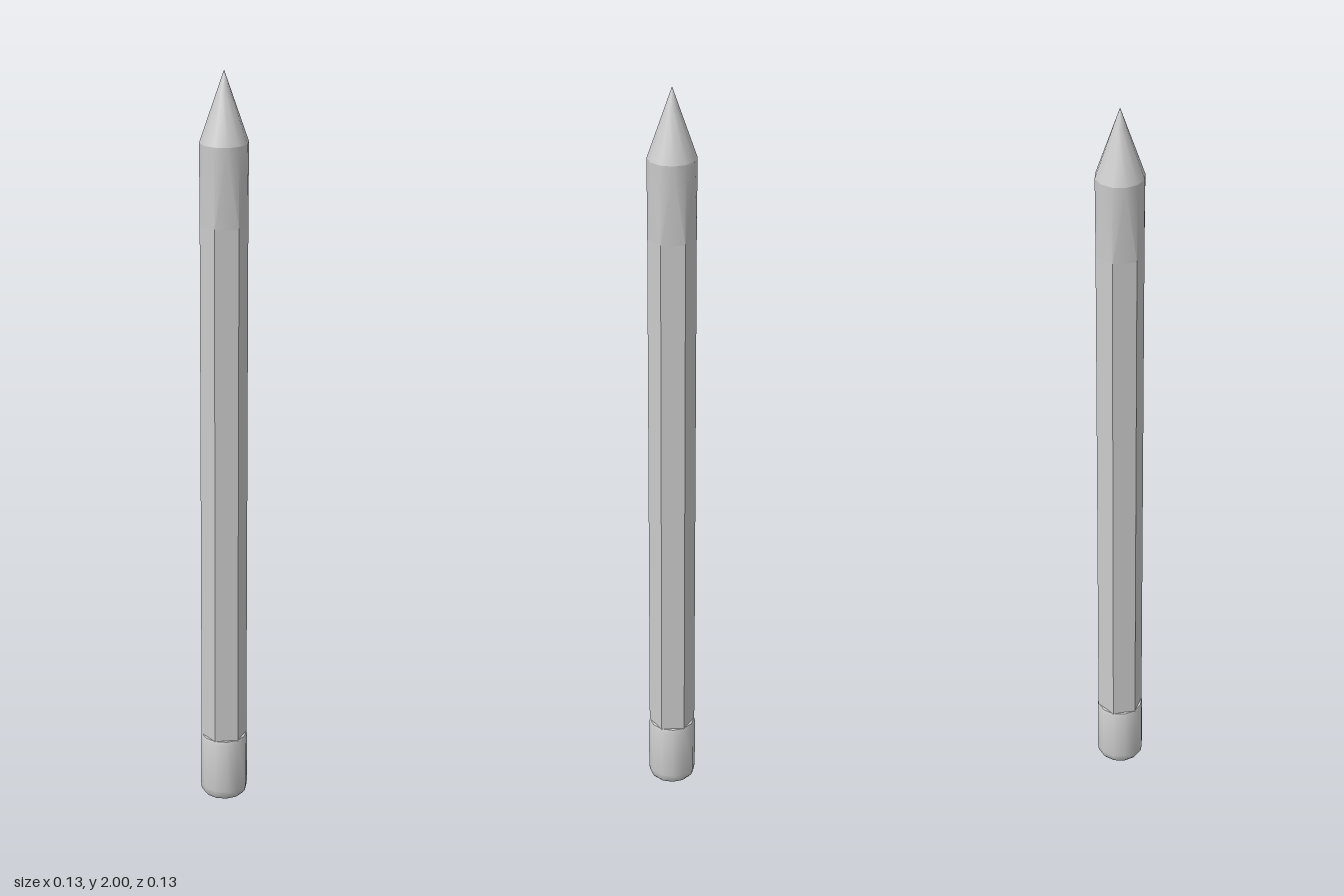
import * as THREE from 'three';
import { toCreasedNormals } from 'three/addons/utils/BufferGeometryUtils.js';

const R = 0.061;          // corner radius of the hexagonal barrel
const BARREL_TOP = 1.61;
const CONE_BASE = 1.82;
const TIP_START = 1.95;

const ring = (k, r, y) => [r * Math.sin(k * Math.PI / 6), y, r * Math.cos(k * Math.PI / 6)];

// Facets that blend the six-sided barrel into the twelve-sided cone base
function shoulderGeometry() {
  const positions = [];
  for (let k = 1; k < 12; k += 2) {
    const lowA = ring(k - 1, R, BARREL_TOP), lowB = ring(k + 1, R, BARREL_TOP);
    const topA = ring(k - 1, R + 0.001, CONE_BASE);
    const topMid = ring(k, R + 0.001, CONE_BASE);
    const topB = ring(k + 1, R + 0.001, CONE_BASE);
    positions.push(...lowA, ...lowB, ...topMid);
    positions.push(...lowA, ...topMid, ...topA);
    positions.push(...lowB, ...topB, ...topMid);
  }
  const geometry = new THREE.BufferGeometry();
  geometry.setAttribute('position', new THREE.Float32BufferAttribute(positions, 3));
  return toCreasedNormals(geometry, 0.6);
}

// Twelve-sided turned part from [radius, height] pairs, bottom to top
function turned(profile) {
  const points = profile.map(([r, y]) => new THREE.Vector2(r, y));
  return new THREE.LatheGeometry(points, 12);
}

export function createModel() {
  const group = new THREE.Group();
  const smooth = new THREE.MeshStandardMaterial({ color: 0xcccccc });
  const faceted = new THREE.MeshStandardMaterial({ color: 0xcccccc, flatShading: true });

  const add = (name, geometry, material = smooth) => {
    const mesh = new THREE.Mesh(geometry, material);
    mesh.name = name;
    group.add(mesh);
    return mesh;
  };

  // Hexagonal barrel with corners toward front and back
  const barrelBottom = 0.1;
  const barrel = new THREE.CylinderGeometry(R, R, BARREL_TOP - barrelBottom, 6, 1, true);
  add('barrel', barrel, faceted).position.y = (BARREL_TOP + barrelBottom) / 2;

  // Shoulder, sharpened cone and point
  add('shoulder', shoulderGeometry());
  const tipRadius = (R + 0.001) * (2 - TIP_START) / (2 - CONE_BASE);
  add('sharpenedCone', turned([[R + 0.001, CONE_BASE], [tipRadius, TIP_START]]));
  add('leadTip', turned([[tipRadius, TIP_START], [0, 2]]));

  // End cap: softly rounded base, straight wall, small bevel at the upper rim
  add('endCap', toCreasedNormals(turned([
    [0, 0], [0.03, 0.006], [0.054, 0.015], [0.061, 0.024],
    [0.063, 0.04], [0.063, 0.182], [0.06, 0.19], [0.045, 0.192],
  ]), 0.9));

  return group;
}
